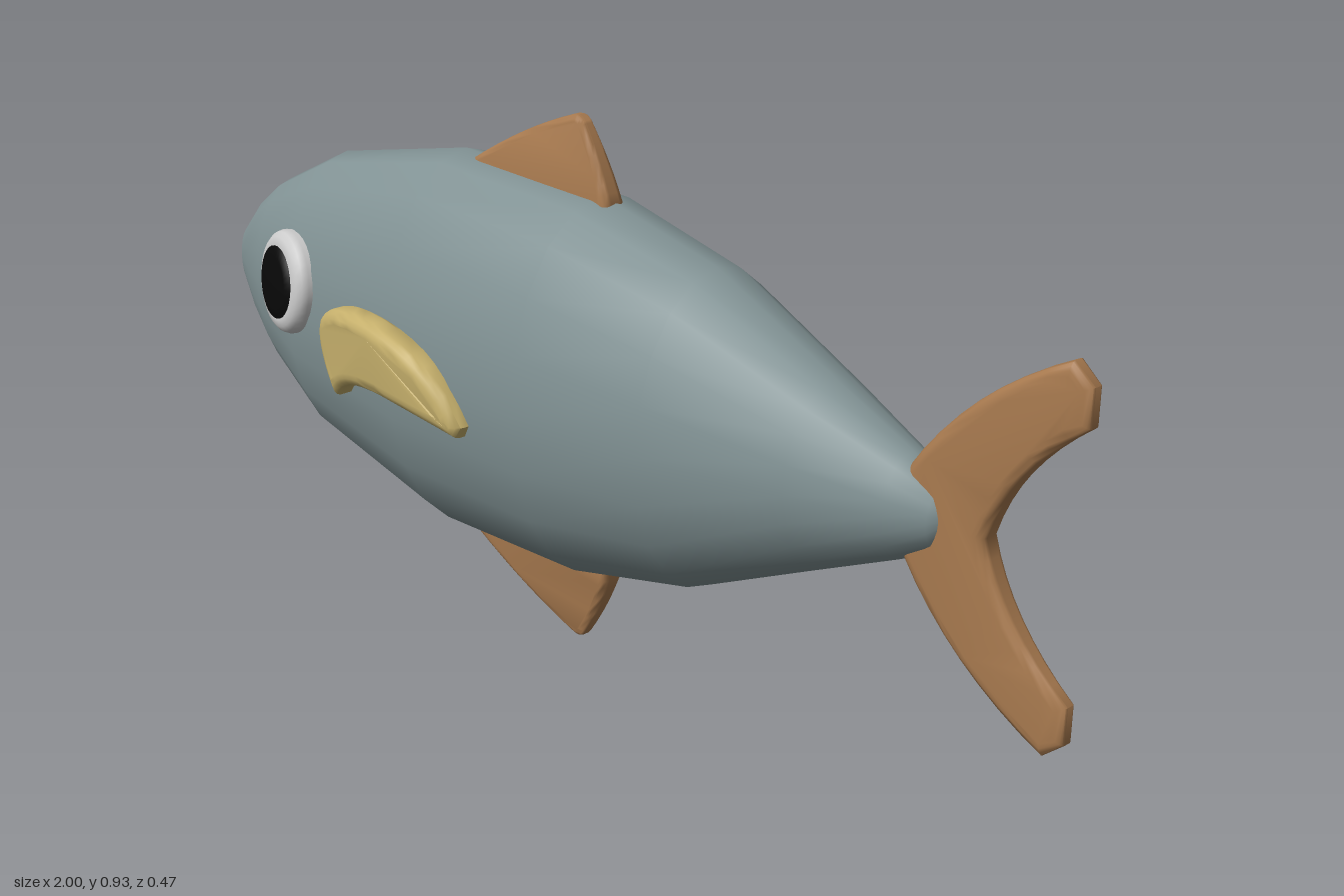
import * as THREE from 'three';
import { mergeVertices, toCreasedNormals } from 'three/addons/utils/BufferGeometryUtils.js';

const MID = 0.482;

const paint = (color) => new THREE.MeshStandardMaterial({ color });

function addMesh(parent, name, geometry, material) {
  const mesh = new THREE.Mesh(geometry, material);
  mesh.name = name;
  parent.add(mesh);
  return mesh;
}

// Oval cross-sections along x: [x, half height, half width]
function bodyGeometry(stations, sides = 20) {
  const positions = [], index = [];
  stations.forEach(([x, h, w]) => {
    for (let i = 0; i < sides; i++) {
      const a = (i / sides) * Math.PI * 2;
      positions.push(x, MID + h * Math.cos(a), w * Math.sin(a));
    }
  });
  for (let s = 0; s < stations.length - 1; s++) {
    for (let i = 0; i < sides; i++) {
      const j = (i + 1) % sides;
      const a = s * sides + i, b = s * sides + j, c = a + sides, d = b + sides;
      index.push(a, b, c, b, d, c);
    }
  }
  const geo = new THREE.BufferGeometry();
  geo.setAttribute('position', new THREE.Float32BufferAttribute(positions, 3));
  geo.setIndex(index);
  const merged = mergeVertices(geo);
  merged.computeVertexNormals();
  return merged;
}

// Round-edged slab from an outline; rule(v) then bends or tapers it in z (starting at -1..1)
function finGeometry(shape, bevel, rule) {
  let geo = new THREE.ExtrudeGeometry(shape, {
    depth: 0.8, bevelEnabled: true, bevelThickness: 0.6, bevelSize: bevel,
    bevelOffset: -bevel, bevelSegments: 4, curveSegments: 8,
  });
  geo.translate(0, 0, -0.4);
  const p = geo.attributes.position, v = new THREE.Vector3();
  for (let i = 0; i < p.count; i++) {
    rule(v.fromBufferAttribute(p, i));
    p.setXYZ(i, v.x, v.y, v.z);
  }
  geo.deleteAttribute('uv');
  return toCreasedNormals(geo, 0.9);
}

function backFinShape(sign) {
  const y = (d) => MID + sign * d;
  const s = new THREE.Shape();
  s.moveTo(-0.3, y(0.28));
  s.lineTo(-0.265, y(0.337));
  s.quadraticCurveTo(-0.14, y(0.415), -0.02, y(0.456));
  s.quadraticCurveTo(0.0, y(0.462), 0.01, y(0.445));
  s.quadraticCurveTo(0.05, y(0.385), 0.072, y(0.325));
  s.lineTo(0.07, y(0.28));
  return s;
}

function tailShape() {
  const s = new THREE.Shape();
  s.moveTo(0.68, 0.48);
  s.lineTo(0.705, 0.55);
  s.quadraticCurveTo(0.8, 0.7, 0.965, 0.78);
  s.lineTo(1, 0.75);
  s.lineTo(1, 0.69);
  s.quadraticCurveTo(0.88, 0.6, 0.845, 0.48);
  s.quadraticCurveTo(0.88, 0.36, 1, 0.27);
  s.lineTo(1, 0.21);
  s.lineTo(0.965, 0.18);
  s.quadraticCurveTo(0.8, 0.26, 0.705, 0.41);
  return s;
}

function sideFinShape() {
  const s = new THREE.Shape();
  s.moveTo(-0.435, 0.385);
  s.quadraticCurveTo(-0.4, 0.435, -0.28, 0.435);
  s.quadraticCurveTo(-0.18, 0.43, -0.09, 0.408);
  s.lineTo(-0.077, 0.43);
  s.quadraticCurveTo(-0.14, 0.54, -0.3, 0.558);
  s.quadraticCurveTo(-0.44, 0.565, -0.495, 0.515);
  s.quadraticCurveTo(-0.53, 0.465, -0.435, 0.385);
  return s;
}

export function createModel() {
  const fish = new THREE.Group();
  fish.name = 'fish';
  const grey = paint(0x819294), brown = paint(0xa87a4f), yellow = paint(0xc6b06c);
  const white = paint(0xc0c0c0), black = paint(0x080808);

  addMesh(fish, 'body', bodyGeometry([
    [-1, 0, 0], [-0.975, 0.055, 0.018], [-0.9, 0.13, 0.055], [-0.82, 0.187, 0.09],
    [-0.64, 0.275, 0.148], [-0.3, 0.346, 0.188], [0.04, 0.332, 0.2], [0.3, 0.271, 0.174],
    [0.55, 0.154, 0.115], [0.7, 0.085, 0.068], [0.76, 0.05, 0.042], [0.78, 0.015, 0.013], [0.781, 0, 0],
  ]), grey);

  // Upper and lower fins, thinner toward the tip
  for (const [name, sign] of [['dorsalFin', 1], ['ventralFin', -1]]) {
    const fin = addMesh(fish, name, finGeometry(backFinShape(sign), 0.012, (v) => {
      const t = (Math.abs(v.y - MID) - 0.32) / 0.14;
      v.z *= 0.023 - 0.011 * THREE.MathUtils.clamp(t, 0, 1);
    }), brown);
    if (sign < 0) fin.position.y = -0.018;
  }

  // Forked tail, thickest at its root
  addMesh(fish, 'tailFin', finGeometry(tailShape(), 0.018, (v) => {
    v.z *= 0.029 - 0.05 * Math.max(0, v.x - 0.72);
  }), brown);

  for (const [side, sign] of [['left', 1], ['right', -1]]) {
    // Side fin curving along the flank
    addMesh(fish, side === 'left' ? 'frontSideFin' : 'rearSideFin',
      finGeometry(sideFinShape(), 0.024, (v) => {
        const d = v.x + 0.23;
        v.z = sign * (0.202 - 0.65 * d * d) + v.z * 0.031;
      }), yellow);

    // Eye: rounded ring disc with a shallow domed pupil
    const eye = new THREE.Group();
    eye.name = sign > 0 ? 'frontEye' : 'rearEye';
    const lathe = (pts) => new THREE.LatheGeometry(
      pts.map(([r, y]) => new THREE.Vector2(r, y)), 32).rotateX(Math.PI / 2);
    addMesh(eye, 'eyeWhite', lathe([
      [0.094, -0.03], [0.096, 0], [0.092, 0.012], [0.083, 0.02], [0.07, 0.024], [0, 0.026],
    ]), white);
    addMesh(eye, 'pupil', lathe([
      [0.068, 0.015], [0.067, 0.026], [0.05, 0.031], [0.025, 0.034], [0, 0.035],
    ]), black);
    eye.position.set(-0.647, 0.535, sign * 0.139);
    const normal = new THREE.Vector3(-0.24, 0.1, sign).normalize();
    eye.lookAt(eye.position.clone().add(normal));
    fish.add(eye);
  }

  return fish;
}
